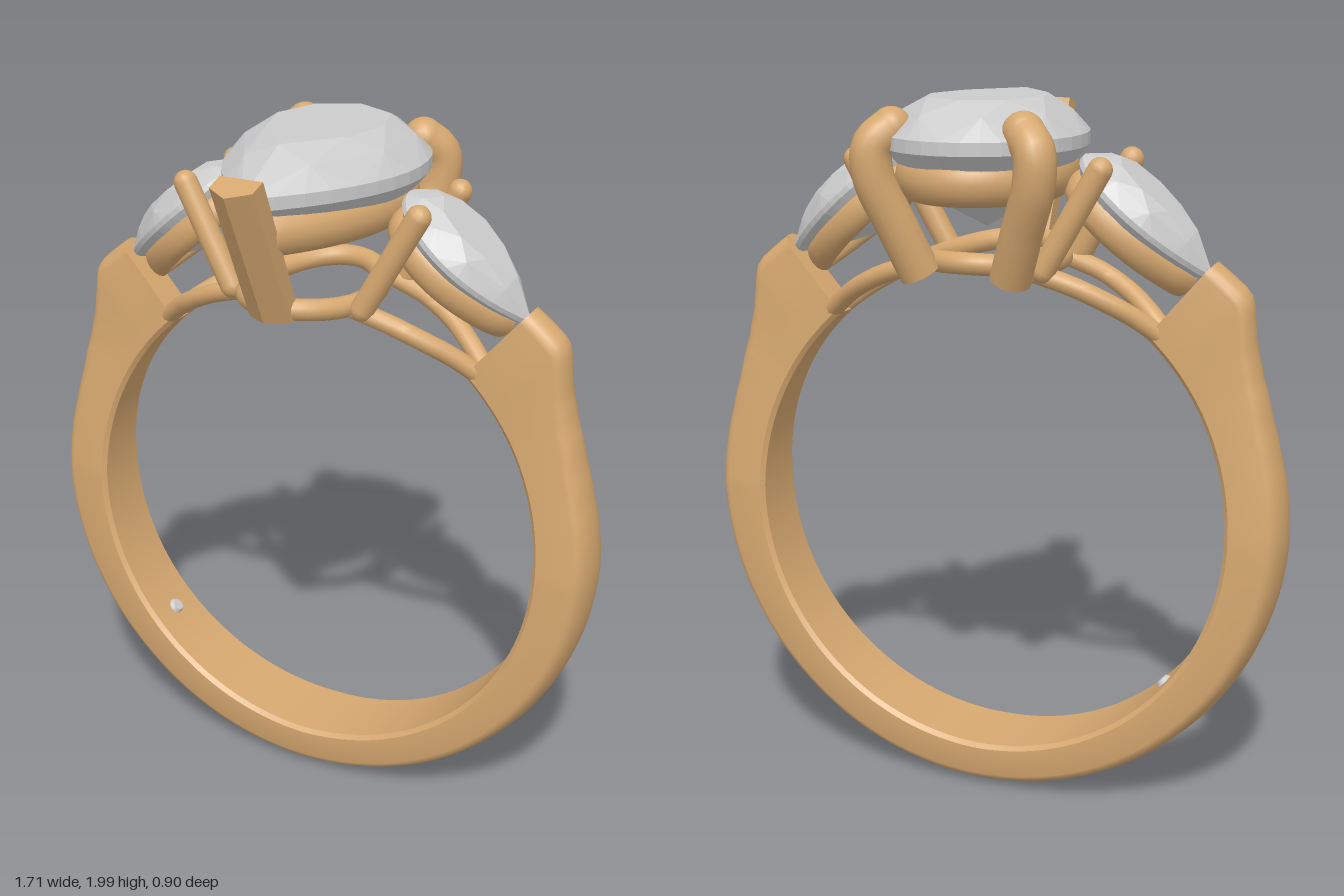
import * as THREE from 'three';
import { toCreasedNormals } from 'three/addons/utils/BufferGeometryUtils.js';
import { ConvexGeometry } from 'three/addons/geometries/ConvexGeometry.js';

const gold = new THREE.MeshStandardMaterial({ color: 0xd6a870 });
const grey = new THREE.MeshStandardMaterial({ color: 0xcccccc });
const V = (x, y, z) => new THREE.Vector3(x, y, z);
const CY = 0.84, R = 0.70, ZC = -0.08; // finger hole centre height, radius, band centre in z
const rad = THREE.MathUtils.degToRad;

function add(parent, name, geometry, material = gold) {
  const mesh = new THREE.Mesh(geometry, material);
  mesh.name = name;
  parent.add(mesh);
  return mesh;
}

// Skin over cross-section loops; open lofts get end caps.
function loft(rings, closed = false, crease = 0.6) {
  const n = rings[0].length, m = rings.length, idx = [];
  for (let i = 0; i < (closed ? m : m - 1); i++) {
    for (let j = 0; j < n; j++) {
      const a = i * n + j, b = i * n + (j + 1) % n;
      const c = ((i + 1) % m) * n + j, d = ((i + 1) % m) * n + (j + 1) % n;
      idx.push(a, b, c, b, d, c);
    }
  }
  if (!closed) {
    const e = (m - 1) * n;
    for (let j = 1; j < n - 1; j++) idx.push(0, j + 1, j, e, e + j, e + j + 1);
  }
  const g = new THREE.BufferGeometry().setFromPoints(rings.flat());
  g.setIndex(idx);
  return toCreasedNormals(g, crease);
}

// Elliptical section (w sideways, h upwards) swept along points.
function sweep(pts, closed, w, h, sides = 14) {
  const m = pts.length;
  const rings = pts.map((p, i) => {
    const prev = closed ? pts[(i + m - 1) % m] : pts[Math.max(i - 1, 0)];
    const next = closed ? pts[(i + 1) % m] : pts[Math.min(i + 1, m - 1)];
    const t = next.clone().sub(prev).normalize();
    const s = V(0, 1, 0).cross(t).normalize(), u = t.clone().cross(s);
    return Array.from({ length: sides }, (_, j) => {
      const a = (j / sides) * Math.PI * 2;
      return p.clone().addScaledVector(s, w * Math.cos(a)).addScaledVector(u, h * Math.sin(a));
    });
  });
  return loft(rings, closed, 0.9);
}

// Pear outline in the xz plane, tip towards +z, widest at z = 0.
function pear(w, back, front, n, y = 0, shift = 0) {
  return Array.from({ length: n }, (_, i) => {
    const t = (i + shift) / n, h = t < 0.5 ? 2 * t : 2 - 2 * t, sign = t < 0.5 ? 1 : -1;
    if (h < 0.5) return V(sign * w * Math.sin(h * Math.PI), y, -back * Math.cos(h * Math.PI));
    const u = h * 2 - 1;
    return V(sign * w * (1 - u ** 1.95), y, front * u);
  });
}

// Faceted pear stone; girdle top at y = 0.
function pearStone(w, back, front, crown, girdle, depth) {
  const ring = (k, n, y, shift) => pear(w * k, back * k, front * k, n, y, shift);
  return new ConvexGeometry([
    ...ring(1, 32, 0, 0), ...ring(1, 32, -girdle, 0),
    ...ring(0.83, 8, crown * 0.6, 0.5), ...ring(0.6, 8, crown, 0),
    ...ring(0.58, 8, -girdle - depth * 0.62, 0.5), V(0, -girdle - depth, 0),
  ]);
}

function lookup(table, x) {
  for (let i = 1; i < table.length; i++) {
    const [x0, y0] = table[i - 1], [x1, y1] = table[i];
    if (x <= x1) return y0 + (y1 - y0) * (x - x0) / (x1 - x0);
  }
  return table[table.length - 1][1];
}

// Tapered band with domed outside and flared shoulders.
function bandGeometry() {
  const outer = [[-90, 0.83], [-45, 0.838], [0, 0.855], [15, 0.855], [22, 0.862], [30, 0.886],
    [35, 0.914], [39, 0.953], [41.5, 0.982], [43, 0.986], [49.5, 0.977]];
  const half = [[-90, 0.125], [0, 0.098], [30, 0.064], [50, 0.05]];
  const rings = [], steps = 186;
  for (let i = 0; i <= steps; i++) {
    const a = rad(130.5 + 279 * i / steps);
    const f = THREE.MathUtils.radToDeg(Math.asin(Math.sin(a)));
    const ro = lookup(outer, f), hw = lookup(half, f), b = 0.012, dome = 0.04;
    const sec = [[-hw + b, R], [hw - b, R], [hw, R + b]];
    for (let k = 0; k <= 10; k++) {
      const q = k / 10 * Math.PI;
      sec.push([hw * Math.cos(q), ro - dome + dome * Math.sin(q)]);
    }
    sec.push([-hw, R + b]);
    rings.push(sec.map(([z, r]) => V(r * Math.cos(a), CY + r * Math.sin(a), z)));
  }
  return loft(rings, false, 0.7);
}

// Round rod with rounded ends between two points.
function rod(parent, name, a, b, r) {
  const d = b.clone().sub(a);
  const mesh = add(parent, name, new THREE.CapsuleGeometry(r, d.length(), 4, 14));
  mesh.position.copy(a).add(b).multiplyScalar(0.5);
  mesh.quaternion.setFromUnitVectors(V(0, 1, 0), d.normalize());
}

// Side setting on +x: stone, rail, two prongs and the two gallery arms.
function sideSetting(name) {
  const g = new THREE.Group();
  g.name = name;
  const tilt = new THREE.Group();
  tilt.name = 'tiltedStone';
  const along = V(0.76, -0.65, 0).normalize(), up = V(0.65, 0.76, 0).normalize();
  tilt.quaternion.setFromRotationMatrix(new THREE.Matrix4().makeBasis(V(0, 0, -1), up, along));
  tilt.position.set(0.408, 1.727, 0);
  add(tilt, 'sideStone', pearStone(0.14, 0.19, 0.285, 0.062, 0.015, 0.13), grey);
  add(tilt, 'sideRail', sweep(pear(0.105, 0.15, 0.235, 48, -0.068), true, 0.03, 0.045));
  g.add(tilt);
  for (const s of [1, -1]) {
    rod(g, 'sideProng', V(0.2, 1.555, s * 0.15), V(0.35, 1.825, s * 0.135), 0.034);
    const arm = [[47, 0.02], [54, 0.06], [60, 0.095], [68, 0.125], [77, 0.14]].map(([a, z]) =>
      V(0.727 * Math.cos(rad(a)), CY + 0.727 * Math.sin(rad(a)), s * z));
    add(g, 'galleryArm', sweep(new THREE.CatmullRomCurve3(arm).getPoints(24), false, 0.028, 0.027));
  }
  return g;
}

export function createModel() {
  const model = new THREE.Group();
  model.name = 'threeStoneRing';

  add(model, 'band', bandGeometry()).position.z = ZC;

  // Small accent stone set inside the band
  const a = rad(-138);
  const accent = add(model, 'insideAccentStone', new THREE.CylinderGeometry(0.018, 0.03, 0.02, 12), grey);
  accent.position.set(Math.cos(a) * (R - 0.002), CY + Math.sin(a) * (R - 0.002), ZC);
  accent.rotation.z = a + Math.PI / 2;

  // Centre stone and its rail
  const centre = new THREE.Group();
  centre.name = 'centreSetting';
  centre.position.z = -0.13;
  add(centre, 'centreStone', pearStone(0.27, 0.32, 0.49, 0.095, 0.035, 0.22), grey).position.y = 1.905;
  add(centre, 'centreRail', sweep(pear(0.182, 0.235, 0.41, 64, 1.795), true, 0.055, 0.065));
  model.add(centre);

  // Gallery ring curved along the finger hole
  const ring = Array.from({ length: 48 }, (_, i) => {
    const t = i / 48 * Math.PI * 2, x = 0.17 * Math.sin(t);
    return V(x, CY + Math.sqrt(0.73 ** 2 - x * x), -0.04 + 0.24 * Math.cos(t));
  });
  add(model, 'galleryRing', sweep(ring, true, 0.03, 0.03));

  // V-shaped front prong
  const section = [[-0.045, -0.062], [0.01, -0.062], [0.045, 0], [0.01, 0.062], [-0.045, 0.062]];
  add(model, 'frontProng', loft([[1.54, 0.208, 0], [1.945, 0.402, 0.3]].map(([y, z, slope]) =>
    section.map(([dz, x]) => V(x, y - dz * slope, z + dz))), false, 0.2));

  // Curved back prongs gripping the round end
  for (const s of [1, -1]) {
    const path = new THREE.CatmullRomCurve3([V(s * 0.13, 1.535, -0.285), V(s * 0.175, 1.66, -0.325),
      V(s * 0.225, 1.8, -0.366), V(s * 0.225, 1.88, -0.366), V(s * 0.185, 1.925, -0.335)]);
    const prong = new THREE.Group();
    prong.name = 'backProng';
    add(prong, 'backProngStem', new THREE.TubeGeometry(path, 28, 0.056, 16));
    add(prong, 'backProngTip', new THREE.SphereGeometry(0.056, 18, 12)).position.copy(path.getPoint(1));
    const foot = add(prong, 'backProngFoot', new THREE.CircleGeometry(0.056, 16));
    foot.position.copy(path.getPoint(0));
    foot.quaternion.setFromUnitVectors(V(0, 0, 1), path.getTangent(0).negate());
    model.add(prong);
  }

  const left = sideSetting('leftSideSetting'), right = sideSetting('rightSideSetting');
  left.position.z = right.position.z = ZC;
  right.rotation.y = Math.PI;
  model.add(left, right);
  return model;
}
